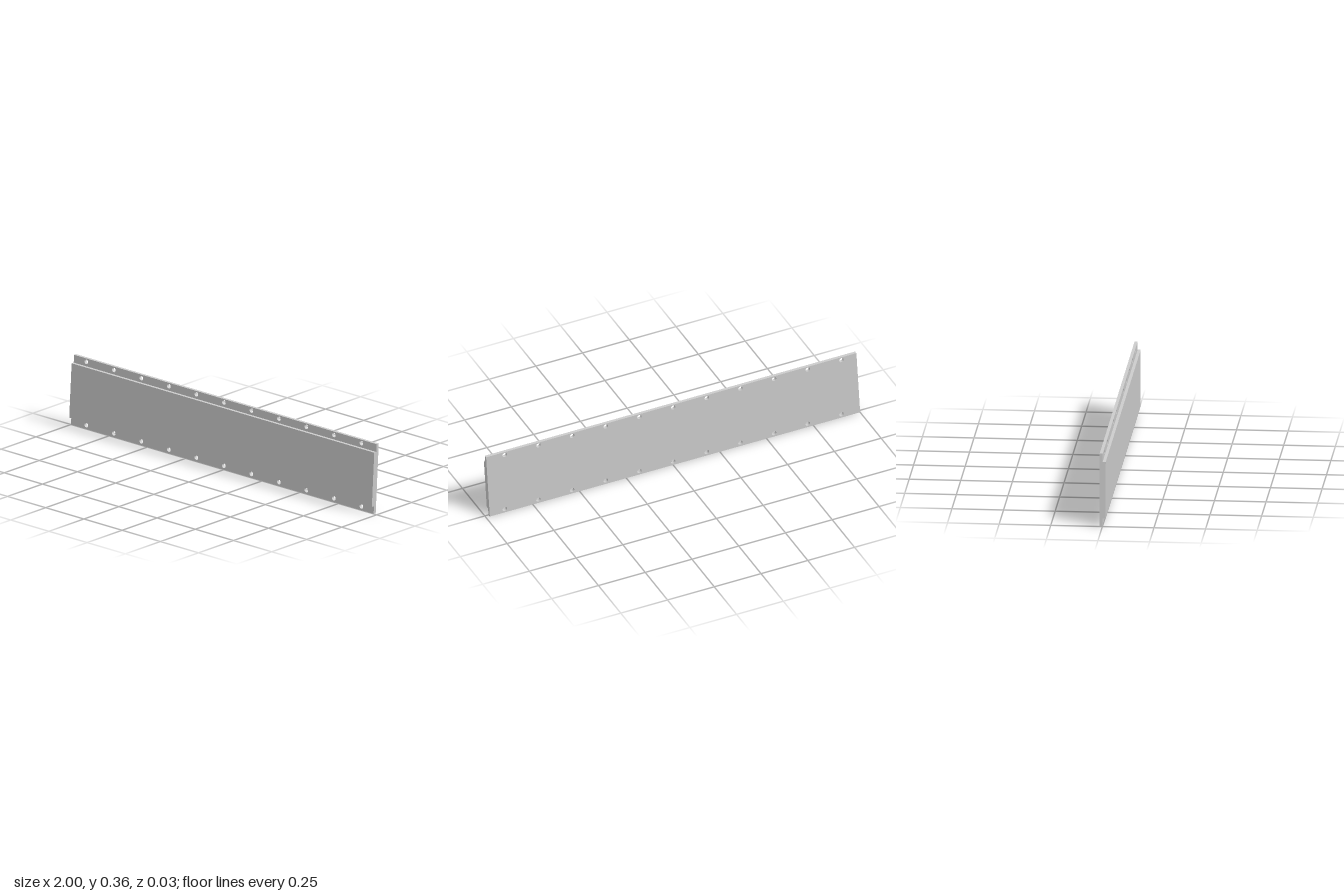
import * as THREE from 'three';

const HEIGHT = 0.36, THICK = 0.015, SLANT = 0.02;

// Left end of the sheared outline at height y; the right end is 1.98 further
const startX = (y) => -1 + SLANT * (y / HEIGHT);

function slantedShape(y0, y1) {
  return new THREE.Shape([
    new THREE.Vector2(startX(y0), y0),
    new THREE.Vector2(startX(y0) + 2 - SLANT, y0),
    new THREE.Vector2(startX(y1) + 2 - SLANT, y1),
    new THREE.Vector2(startX(y1), y1),
  ]);
}

export function createModel() {
  const group = new THREE.Group();
  group.name = 'slantedPanel';
  const material = new THREE.MeshStandardMaterial({ color: 0xcccccc });

  const addSlab = (name, shape, z) => {
    const geometry = new THREE.ExtrudeGeometry(shape, { depth: THICK, bevelEnabled: false, curveSegments: 24 });
    const mesh = new THREE.Mesh(geometry, material);
    mesh.name = name;
    mesh.position.z = z;
    group.add(mesh);
  };

  // Back plate with a row of bolt holes along each flange
  const plate = slantedShape(0, HEIGHT);
  for (const y of [0.02, 0.343]) {
    for (let i = -5; i <= 5; i++) {
      plate.holes.push(new THREE.Path().absarc(i * 0.18, y, 0.012, 0, Math.PI * 2, true));
    }
  }
  addSlab('backPlate', plate, -THICK);

  // Raised front panel between the flanges
  addSlab('raisedPanel', slantedShape(0.04, 0.32), 0);

  return group;
}
